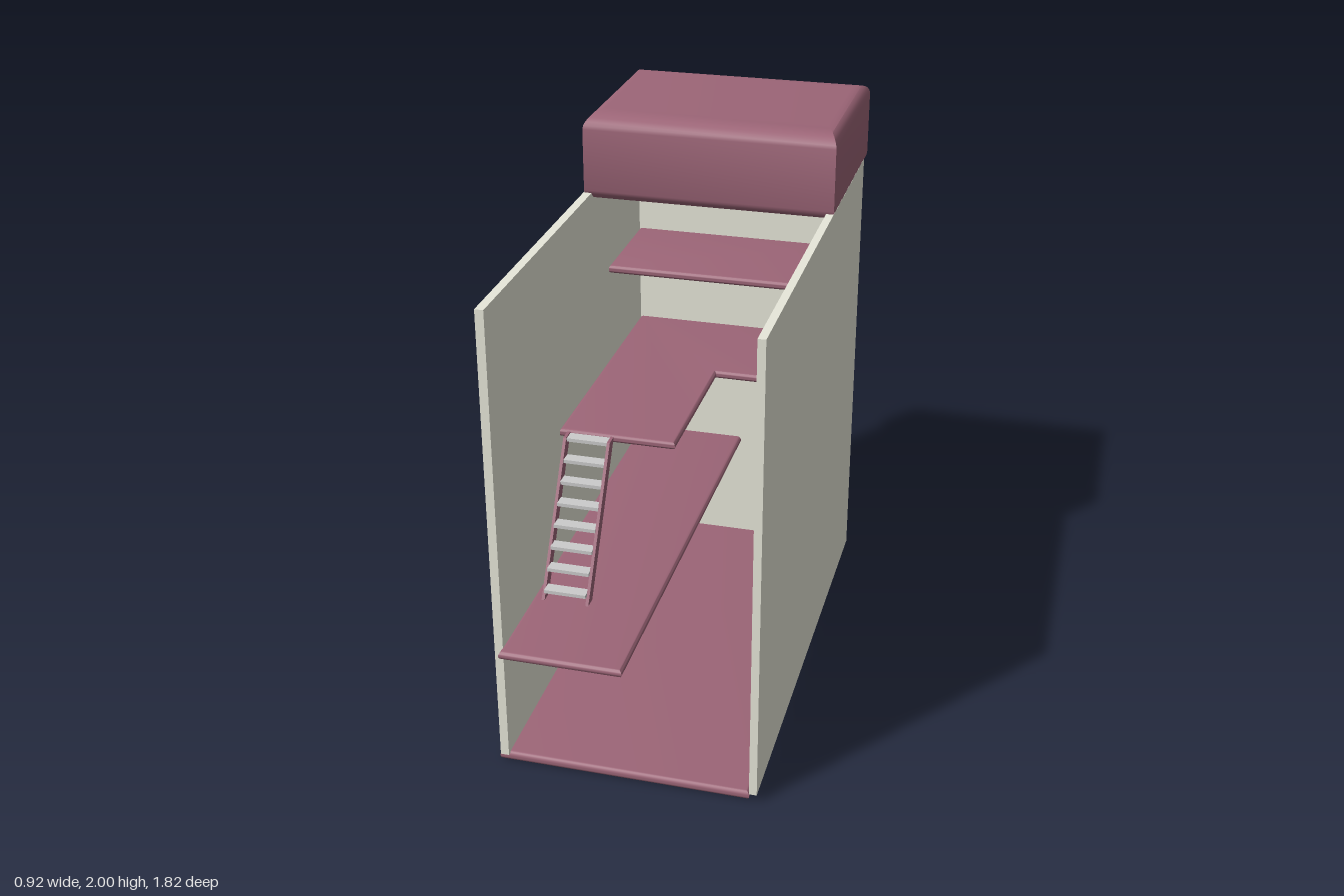
import * as THREE from 'three';
import { mergeVertices, toCreasedNormals } from 'three/addons/utils/BufferGeometryUtils.js';

export function createModel() {
  const model = new THREE.Group();
  const plum = new THREE.MeshStandardMaterial({ color: 0x9c6577 });
  const cream = new THREE.MeshStandardMaterial({ color: 0xe8e8da });
  const grey = new THREE.MeshStandardMaterial({ color: 0xcccccc });

  function add(name, geometry, material, parent = model) {
    const mesh = new THREE.Mesh(geometry, material);
    mesh.name = name;
    parent.add(mesh);
    return mesh;
  }

  // Box given by its limits on each axis
  function box(name, [x0, x1], [y0, y1], [z0, z1], material, parent) {
    const g = new THREE.BoxGeometry(x1 - x0, y1 - y0, z1 - z0);
    g.translate((x0 + x1) / 2, (y0 + y1) / 2, (z0 + z1) / 2);
    return add(name, g, material, parent);
  }

  // Horizontal slab with rounded edges; outline is [x, z] and zStretch widens the rounding along z
  function slab(name, outline, y0, y1, r, zStretch = 1) {
    const shape = new THREE.Shape(outline.map(([x, z]) => new THREE.Vector2(x, -z / zStretch)));
    const g = new THREE.ExtrudeGeometry(shape, {
      depth: y1 - y0 - 2 * r, bevelThickness: r, bevelSize: r, bevelOffset: -r, bevelSegments: 6,
    });
    g.translate(0, 0, r).rotateX(-Math.PI / 2);
    g.scale(1, 1, zStretch).translate(0, y0, 0);
    g.deleteAttribute('uv');
    g.deleteAttribute('normal');
    return add(name, toCreasedNormals(mergeVertices(g, 1e-5), 0.6), plum);
  }
  const rect = (x0, x1, z0, z1) => [[x0, z1], [x1, z1], [x1, z0], [x0, z0]];

  // Walls
  box('rightWall', [-0.455, -0.425], [0.03, 1.715], [-0.845, 0.88], cream);
  box('leftWall', [0.43, 0.457], [0.03, 1.715], [-0.845, 0.875], cream);
  box('backWall', [-0.425, 0.43], [0.03, 1.7], [-0.845, -0.82], cream);

  // Floors, each reaching through the back wall
  slab('groundFloor', rect(-0.46, 0.43, -0.852, 0.872), 0, 0.036, 0.016);
  slab('lowerPlatform', rect(-0.432, 0, -0.855, 0.91), 0.447, 0.478, 0.015);
  slab('middlePlatform',
    [[-0.428, 0.225], [0, 0.225], [0, -0.38], [0.43, -0.38], [0.43, -0.852], [-0.428, -0.852]],
    0.949, 0.98, 0.015);
  slab('upperPlatform', rect(-0.428, 0.43, -0.852, -0.4), 1.33, 1.361, 0.015);

  // Enclosed top with softly rounded upper and lower edges
  slab('roofBox', rect(-0.452, 0.458, -0.91, -0.21), 1.675, 2, 0.05, 2.2);

  // Stairs from the lower to the middle platform
  const stairs = new THREE.Group();
  stairs.name = 'stairs';
  model.add(stairs);
  const side = new THREE.Shape([[0.567, 0.475], [0.272, 0.975], [0.225, 0.975], [0.52, 0.475]]
    .map(([z, y]) => new THREE.Vector2(-z, y)));
  for (const x of [-0.396, -0.235]) {
    const g = new THREE.ExtrudeGeometry(side, { depth: 0.011, bevelEnabled: false });
    g.rotateY(Math.PI / 2).translate(x, 0, 0);
    add('stairStringer', g, plum, stairs);
  }
  for (let i = 0; i < 8; i++) {
    const y = 0.515 + 0.0643 * i, z = 0.543 - 0.0425 * i;
    box('stairTread', [-0.386, -0.234], [y - 0.008, y + 0.005], [z - 0.022, z + 0.022], grey, stairs);
  }

  // Thin plates under the upper platform and the roof
  box('upperPlate', [-0.1, 0.057], [1.315, 1.32], [-0.6, -0.55], grey);
  box('roofPlate', [-0.35, -0.2], [1.67, 1.675], [-0.6, -0.55], grey);

  return model;
}
